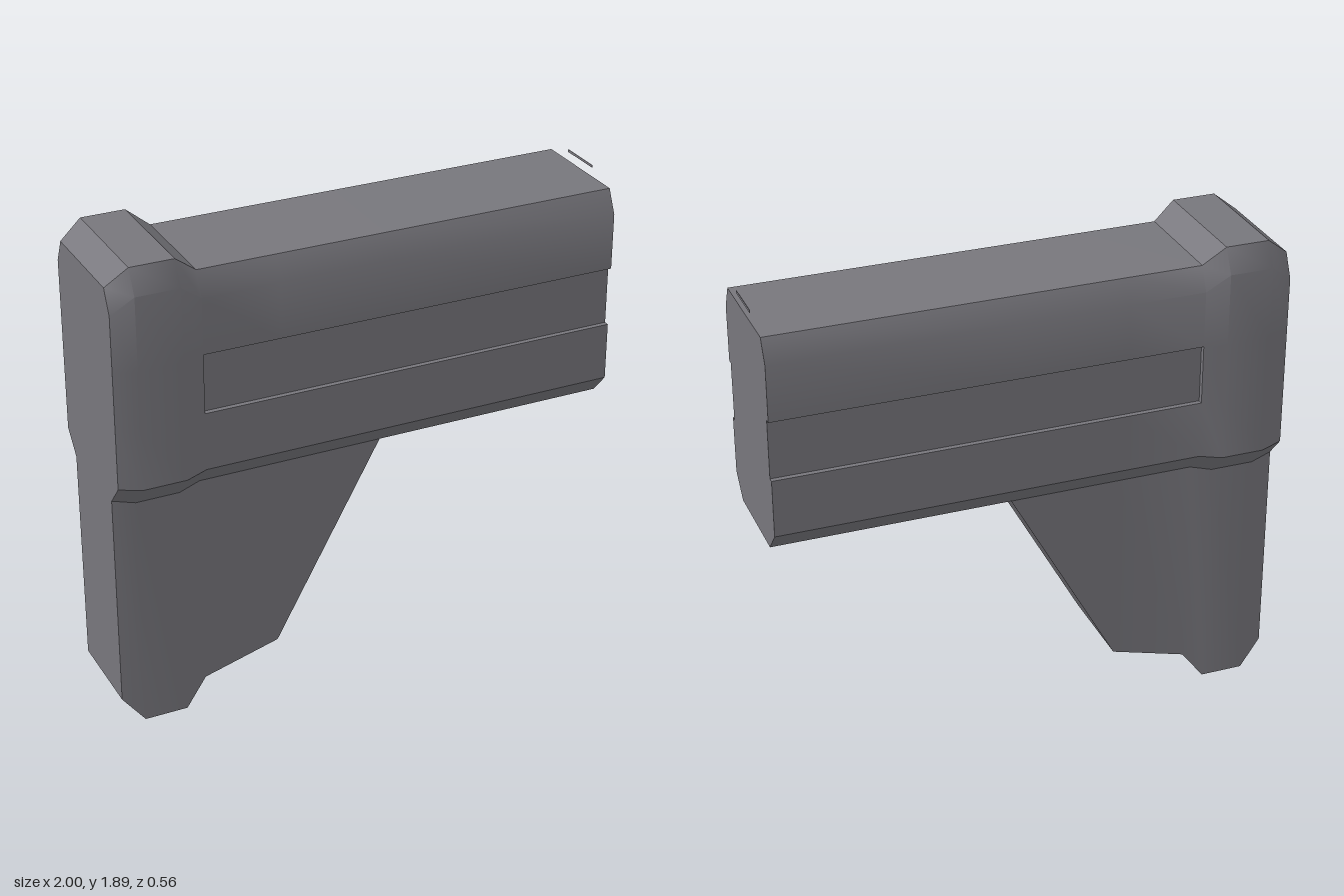
import * as THREE from 'three';
import { toCreasedNormals } from 'three/addons/utils/BufferGeometryUtils.js';

// Stations along x: swell (0 plain, 1 raised band), foot height, side groove depth
const NECK = 0.965;
const stations = [
  { x: -1, swell: 0, foot: 0.105, groove: 0 },
  { x: -0.915, swell: 1, foot: 0, groove: 0 },
  { x: -0.745, swell: 1, foot: 0, groove: 0 },
  { x: -0.66, swell: 0, foot: 0.108, groove: 0 },
  { x: -0.66, swell: 0, foot: 0.108, groove: 0.02 },
  { x: -0.36, swell: 0, foot: 0.192, groove: 0.02 },
  { x: 0.07, swell: 0, foot: NECK, groove: 0.02 },
  { x: 1, swell: 0, foot: NECK, groove: 0.02 },
];

// Closed cross-section: down the +z side, then up the -z side
function ring({ x, swell, foot, groove }) {
  const mix = (a, b) => a + (b - a) * swell;
  const side = mix(0.257, 0.282);
  const neck = mix(0.182, 0.197);
  const half = [
    [mix(0.215, 0.235), mix(1.82, 1.887)], // top edge
    [side, mix(1.73, 1.795)],              // shoulder
    [side, 1.51], [side - groove, 1.51],   // groove
    [side - groove, 1.277], [side, 1.277],
    [side, mix(1.05, 1.04)],               // waist
    [neck, mix(NECK, 0.945)],              // neck
    [neck, foot],                          // grip foot
  ];
  const left = half.map(([z, y]) => new THREE.Vector3(x, y, z));
  const right = half.map(([z, y]) => new THREE.Vector3(x, y, -z)).reverse();
  return [...left, ...right];
}

function loftGeometry() {
  const rings = stations.map(ring);
  const positions = [];
  const triangle = new THREE.Triangle();
  const add = (a, b, c) => {
    if (triangle.set(a, b, c).getArea() < 1e-7) return;
    for (const p of [a, b, c]) positions.push(p.x, p.y, p.z);
  };
  // Skin between neighbouring sections
  for (let i = 0; i < rings.length - 1; i++) {
    const r = rings[i], s = rings[i + 1], n = r.length;
    for (let j = 0; j < n; j++) {
      const k = (j + 1) % n;
      add(r[j], r[k], s[k]);
      add(r[j], s[k], s[j]);
    }
  }
  // End caps
  const cap = (source, flip) => {
    const points = source.filter((p, i) => p.distanceTo(source[(i + 1) % source.length]) > 1e-5);
    const outline = points.map((p) => new THREE.Vector2(-p.z, p.y));
    for (const [a, b, c] of THREE.ShapeUtils.triangulateShape(outline, [])) {
      if (flip) add(points[a], points[c], points[b]);
      else add(points[a], points[b], points[c]);
    }
  };
  cap(rings[0], true);
  cap(rings[rings.length - 1], false);

  const geometry = new THREE.BufferGeometry();
  geometry.setAttribute('position', new THREE.Float32BufferAttribute(positions, 3));
  return toCreasedNormals(geometry, 0.6);
}

export function createModel() {
  const group = new THREE.Group();
  group.name = 'stock';

  const grey = new THREE.MeshStandardMaterial({ color: 0x77767c });
  grey.name = 'grey polymer';

  // Body, raised butt band and grip in one skin
  const body = new THREE.Mesh(loftGeometry(), grey);
  body.name = 'stockBody';
  group.add(body);

  // Thin sliver above the open end
  const sliver = new THREE.Mesh(new THREE.BoxGeometry(0.002, 0.01, 0.175), grey);
  sliver.name = 'endSliver';
  sliver.position.set(0.999, 1.86, 0);
  group.add(sliver);

  return group;
}
